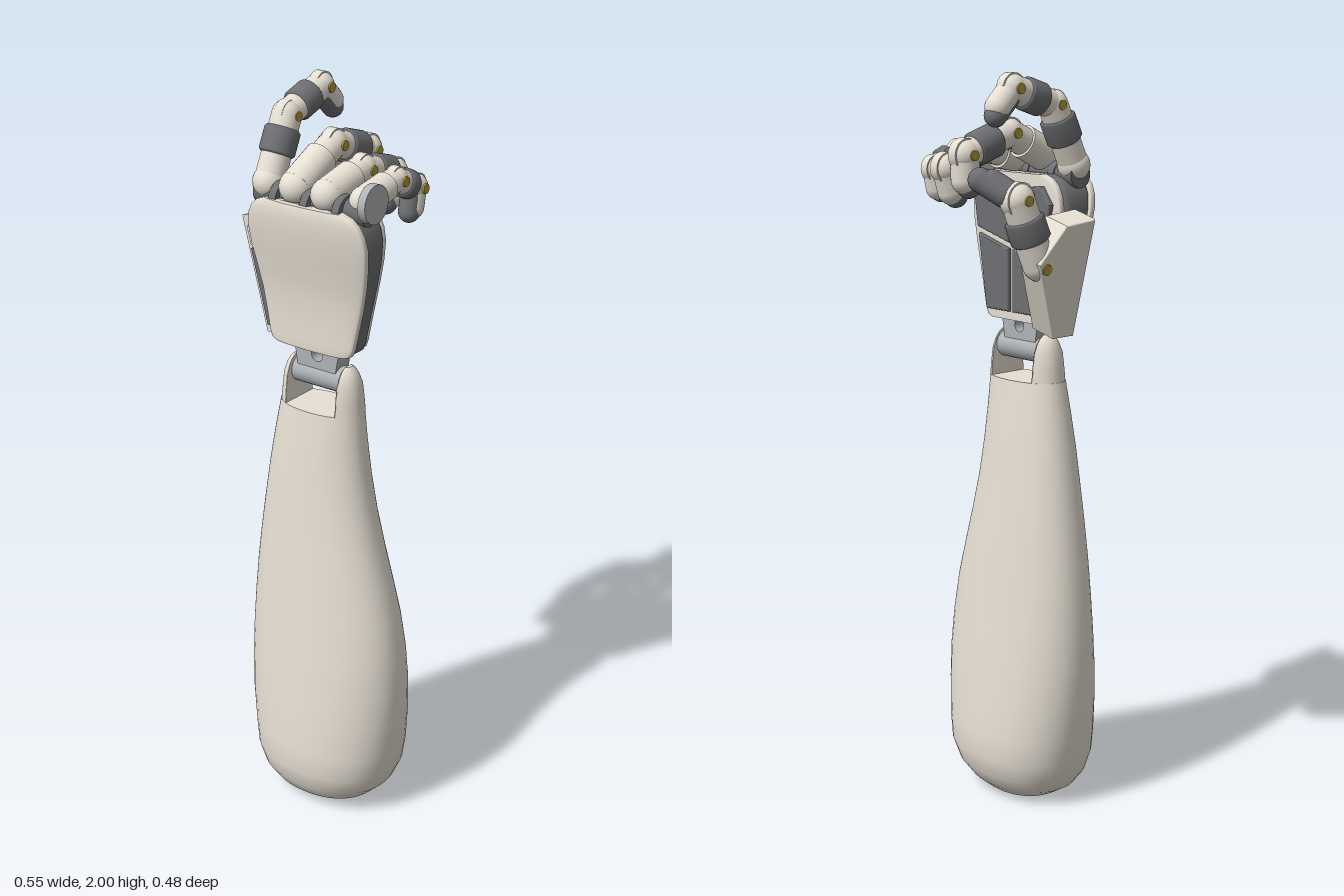
import * as THREE from 'three';

const mat = (color) => new THREE.MeshStandardMaterial({ color });
const shell = mat(0xe6dfd3), dark = mat(0x6e6f72), grey = mat(0xb0b4b7), gold = mat(0xb39a3a);
const V = (x, y, z) => new THREE.Vector3(x, y, z);

function add(parent, name, geo, material, pos) {
  const m = new THREE.Mesh(geo, material);
  m.name = name;
  if (pos) m.position.copy(pos);
  parent.add(m);
  return m;
}

// Horizontal cross-section: superellipse, or only its arc within +-range
function ring(y, xl, xr, z0, z1, n = 2, bow = 0, range = Math.PI) {
  const cx = (xl + xr) / 2, cz = (z0 + z1) / 2, count = 48, pts = [];
  const p = (t) => Math.sign(t) * Math.abs(t) ** (2 / n);
  const div = range < Math.PI ? count - 1 : count;
  for (let i = 0; i < count; i++) {
    const a = -range + (2 * range * i) / div;
    const x = cx + p(Math.cos(a)) * (xr - xl) / 2;
    pts.push(V(x, y, cz + p(Math.sin(a)) * (z1 - z0) / 2 - bow * x * x));
  }
  return pts;
}

// Closed skin over a stack of rings, smooth sides and flat end caps
function loft(rings) {
  const n = rings[0].length, pos = [], idx = [];
  rings.forEach((r) => r.forEach((p) => pos.push(p.x, p.y, p.z)));
  for (let i = 0; i < rings.length - 1; i++) for (let j = 0; j < n; j++) {
    const a = i * n + j, b = i * n + (j + 1) % n;
    idx.push(a, a + n, b, b, a + n, b + n);
  }
  [rings[0], rings[rings.length - 1]].forEach((r, top) => {
    const s = pos.length / 3, c = V(0, 0, 0);
    r.forEach((p) => { pos.push(p.x, p.y, p.z); c.addScaledVector(p, 1 / n); });
    pos.push(c.x, c.y, c.z);
    for (let j = 0; j < n; j++) {
      const k = s + (j + 1) % n;
      if (top) idx.push(s + n, k, s + j); else idx.push(s + n, s + j, k);
    }
  });
  const g = new THREE.BufferGeometry();
  g.setAttribute('position', new THREE.Float32BufferAttribute(pos, 3));
  g.setIndex(idx);
  g.computeVertexNormals();
  return g;
}

const polygon = (pts) => new THREE.Shape(pts.map(([x, y]) => new THREE.Vector2(x, y)));
const extrude = (shape, depth, bevel) => new THREE.ExtrudeGeometry(shape, {
  depth, bevelEnabled: bevel > 0, bevelSize: bevel, bevelThickness: bevel, bevelSegments: 3, curveSegments: 24,
});
const axleX = (r, len) => new THREE.CylinderGeometry(r, r, len, 24).rotateZ(Math.PI / 2);

// Group whose local y runs from p to q
function limb(parent, name, p, q) {
  const g = new THREE.Group(), d = q.clone().sub(p);
  g.name = name;
  g.position.copy(p);
  g.userData.length = d.length();
  g.quaternion.setFromUnitVectors(V(0, 1, 0), d.normalize());
  parent.add(g);
  return g;
}

function capsule(g, name, r, from, to, material, z = 0) {
  add(g, name, new THREE.CapsuleGeometry(r, Math.max(to - from, 0.001), 8, 24), material, V(0, (from + to) / 2, z));
}

// Rounded sleeve with a softened rim
function cuff(g, name, r, from, to, material) {
  const e = 0.006, pts = [[r - 0.012, from], [r - e, from], [r, from + e], [r, to - e], [r - e, to], [r - 0.012, to]];
  add(g, name, new THREE.LatheGeometry(pts.map(([x, y]) => new THREE.Vector2(x, y)), 32), material);
}

// Ball hinge with a central tongue and pin
function joint(parent, p, r) {
  add(parent, 'jointBall', new THREE.SphereGeometry(r, 24, 16), shell, p);
  add(parent, 'jointTongue', axleX(r * 1.04, r * 0.7), shell, p);
  add(parent, 'jointPin', axleX(0.013, r * 2 + 0.005), gold, p);
}

function tip(parent, p, q, r, allDark) {
  const g = limb(parent, 'fingertip', p, q), L = g.userData.length;
  capsule(g, 'tipShell', r, 0, L * 0.6, allDark ? dark : shell);
  capsule(g, 'tipPad', r * 0.88, L * 0.25, L - r * 0.7, dark, -r * 0.28);
}

function middle(parent, p, q, r, a, b) {
  const g = limb(parent, 'middlePhalanx', p, q), L = g.userData.length;
  capsule(g, 'rod', r * 0.84, 0, L, shell);
  cuff(g, 'cuff', r, L * a, L * b, dark);
}

function makeForearm(root) {
  const rows = [ // y, left x, right x, half depth
    [0, -0.03, 0.09, 0.05], [0.01, -0.09, 0.14, 0.095], [0.035, -0.13, 0.185, 0.125], [0.075, -0.16, 0.225, 0.152],
    [0.13, -0.178, 0.25, 0.168], [0.2, -0.188, 0.262, 0.167], [0.3, -0.2, 0.271, 0.158], [0.4, -0.204, 0.273, 0.149],
    [0.5, -0.202, 0.266, 0.139], [0.6, -0.196, 0.25, 0.129], [0.7, -0.187, 0.224, 0.12], [0.8, -0.175, 0.197, 0.11],
    [0.9, -0.161, 0.173, 0.1], [1, -0.146, 0.155, 0.091], [1.1, -0.128, 0.143, 0.081], [1.185, -0.111, 0.136, 0.072],
  ];
  add(root, 'forearm', loft(rows.map(([y, l, r, h]) => ring(y, l, r, 0.07 - h, 0.07 + h, 2.2))), shell);

  // Two prongs that hold the wrist barrel
  const prong = [[1.184, 0.123, 0.072], [1.22, 0.12, 0.069], [1.26, 0.116, 0.064], [1.285, 0.108, 0.054], [1.3, 0.1, 0.043], [1.31, 0.09, 0.028]];
  for (const s of [1, -1]) {
    const g = add(root, 'wristProng', loft(prong.map(([y, hx, h]) =>
      ring(y, -hx, hx, 0.07 - h, 0.07 + h, 2.2, 0, Math.acos(Math.min(0.079 / hx, 1) ** 1.1)))), shell, V(0.014, 0, 0));
    if (s < 0) { g.rotation.y = Math.PI; g.position.z = 0.14; }
  }
  // Wrist barrel and drilled neck
  add(root, 'wristBarrel', axleX(0.036, 0.165), grey, V(0.014, 1.267, 0.066));
  const neck = polygon([[-0.05, 1.285], [0.07, 1.285], [0.078, 1.33], [0.085, 1.37], [-0.065, 1.37], [-0.058, 1.33]]);
  neck.holes.push(new THREE.Path().absarc(0.012, 1.328, 0.018, 0, Math.PI * 2, true));
  add(root, 'wristNeck', extrude(neck, 0.056, 0), grey, V(0, 0, 0.038));
}

function makePalm(root) {
  const rows = [ // y, half width, front z
    [1.345, 0.112, 0.118], [1.352, 0.126, 0.12], [1.37, 0.133, 0.12], [1.42, 0.143, 0.12], [1.48, 0.156, 0.122], [1.54, 0.169, 0.13],
    [1.6, 0.18, 0.142], [1.65, 0.184, 0.15], [1.685, 0.178, 0.154], [1.71, 0.165, 0.155], [1.727, 0.145, 0.153], [1.736, 0.118, 0.15],
  ];
  const layer = (name, inset, back, front, material, bow) => add(root, name, loft(rows.map(([y, w, z]) =>
    ring(y, -w + inset, w - inset, back(z), front(z), 6, bow))), material);
  layer('handBackPlate', 0, (z) => z - 0.026, (z) => z, shell, 0.6);
  layer('palmCore', 0.006, () => 0.028, (z) => z - 0.015, dark, 0.3);
  layer('palmFrame', 0.014, () => 0.01, () => 0.034, shell, 0);

  // Soft pads on the gripping side
  const pads = [
    [[0.02, 1.56], [0.13, 1.59], [0.14, 1.66], [0.115, 1.7], [0.02, 1.69]],
    [[-0.01, 1.56], [-0.01, 1.69], [-0.11, 1.7], [-0.14, 1.66], [-0.12, 1.58]],
    [[0.02, 1.375], [0.095, 1.375], [0.125, 1.56], [0.02, 1.53]],
    [[-0.01, 1.375], [-0.01, 1.53], [-0.11, 1.55], [-0.09, 1.375]],
  ];
  pads.forEach((p) => add(root, 'palmPad', extrude(polygon(p), 0.012, 0.007), dark, V(0, 0, 0.004)));

  // Knuckle axle with webs between the fingers
  add(root, 'knuckleBar', axleX(0.034, 0.34), dark, V(0, 1.735, 0.085));
  for (const x of [-0.096, 0.002, 0.1]) add(root, 'knuckleWeb', axleX(0.046, 0.022), dark, V(x, 1.727, 0.092));
  add(root, 'knuckleCover', axleX(0.05, 0.022), grey, V(0.178, 1.762, 0.085));
}

function makeFingers(root) {
  // x, radius, then knuckle, two joints and tip as [y, z]; cuff span
  const fingers = [
    ['middleFinger', -0.046, 0.044, [1.768, 0.1], [1.843, -0.053], [1.795, -0.2], [1.69, -0.195], 0.3, 0.8],
    ['ringFinger', 0.051, 0.043, [1.765, 0.1], [1.797, -0.045], [1.755, -0.18], [1.655, -0.15], 0.35, 0.85],
    ['littleFinger', 0.147, 0.038, [1.762, 0.078], [1.784, -0.053], [1.745, -0.138], [1.66, -0.12], 0.35, 0.75],
  ];
  for (const [name, x, r, ...rest] of fingers) {
    const g = new THREE.Group();
    g.name = name;
    root.add(g);
    const [K, A, B, T] = rest.slice(0, 4).map(([y, z]) => V(x, y, z));
    const base = limb(g, 'baseSegment', K, A), L = base.userData.length;
    add(base, 'knuckle', new THREE.SphereGeometry(r, 24, 16), shell);
    add(base, 'baseShell', new THREE.CylinderGeometry(r, r, L * 0.68, 32), shell, V(0, L * 0.34, 0));
    capsule(base, 'fork', r * 0.85, L * 0.5, L, shell);
    joint(g, A, r * 0.88);
    middle(g, A, B, r, rest[4], rest[5]);
    joint(g, B, r * 0.92);
    tip(g, B, T, r * 0.84);
  }
  // Raised index finger
  const index = new THREE.Group(), x = -0.144;
  index.name = 'indexFinger';
  root.add(index);
  const K = V(x, 1.76, 0.085), A = V(x, 1.915, 0.01), B = V(x, 1.96, -0.13), T = V(x, 1.885, -0.205);
  middle(index, K, A, 0.047, 0.4, 0.8);
  add(index, 'knuckle', new THREE.SphereGeometry(0.043, 24, 16), shell, K);
  joint(index, A, 0.037);
  middle(index, A, B, 0.043, 0.28, 0.72);
  joint(index, B, 0.037);
  tip(index, B, T, 0.033);
}

function makeThumb(root) {
  // Tilted housing on the side of the palm
  const housing = new THREE.Group();
  housing.name = 'thumbHousing';
  housing.position.set(-0.195, 1.49, 0);
  housing.rotation.z = 0.25;
  root.add(housing);
  const side = polygon([[0.036, -0.155], [0.036, 0.155], [-0.055, 0.145], [-0.122, 0.05], [-0.03, -0.155]]);
  add(housing, 'housingBody', extrude(side, 0.074, 0.004).rotateY(-Math.PI / 2), shell, V(0.037, 0, 0));
  add(housing, 'housingPanel', new THREE.BoxGeometry(0.064, 0.21, 0.014), dark, V(0.003, -0.035, 0.038));
  add(housing, 'housingLatch', new THREE.BoxGeometry(0.06, 0.05, 0.014), shell, V(0.003, 0.105, 0.038));
  add(housing, 'housingPin', axleX(0.015, 0.09), gold, V(0, 0.038, -0.1));

  const thumb = new THREE.Group();
  thumb.name = 'thumb';
  root.add(thumb);
  const K = V(-0.205, 1.525, -0.09), A = V(-0.195, 1.69, -0.155), T = V(-0.1, 1.755, -0.215);
  middle(thumb, K, A, 0.052, 0.36, 0.72);
  joint(thumb, A, 0.044);
  tip(thumb, A, T, 0.036, true);
}

export function createModel() {
  const root = new THREE.Group();
  root.name = 'roboticArm';
  [makeForearm, makePalm, makeFingers, makeThumb].forEach((make) => make(root));
  return root;
}
